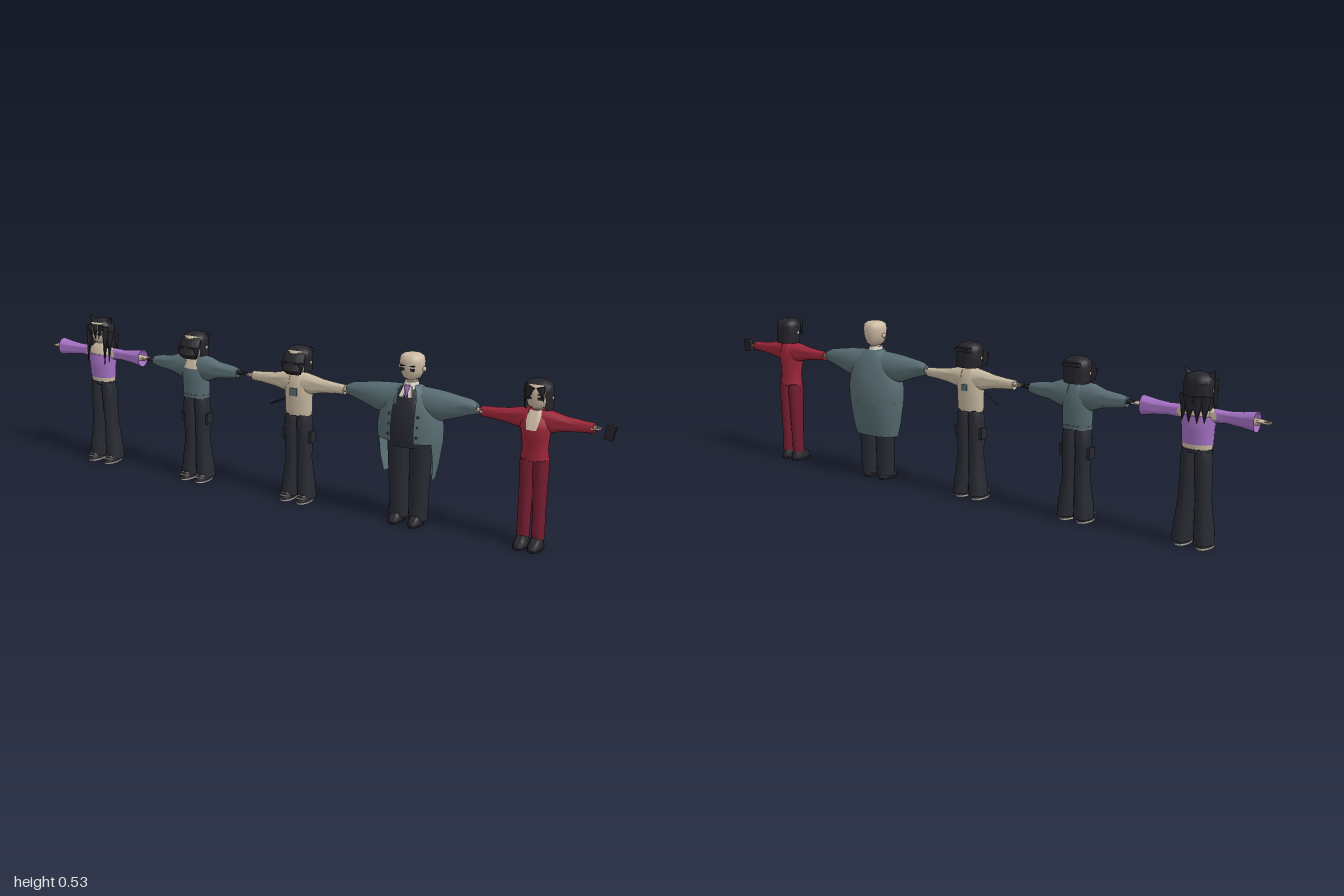
import * as THREE from 'three';
import { toCreasedNormals } from 'three/addons/utils/BufferGeometryUtils.js';

const mat = (name, color, side = THREE.DoubleSide) => {
  const m = new THREE.MeshStandardMaterial({ color, side });
  m.name = name;
  return m;
};
const M = {
  skin: mat('skin', 0xcdbba3), hair: mat('black', 0x24242a), denim: mat('dark trousers', 0x282a32),
  teal: mat('teal cloth', 0x586d73), purple: mat('purple cloth', 0xa672c6), red: mat('red cloth', 0x9c2638),
  wine: mat('wine cloth', 0x741c30), cream: mat('cream cloth', 0xc6b8a0), white: mat('off white', 0xd6d0c6),
};

// Lofts elliptical rings [y, rx, rz, cx, cz, open]; open > 0 leaves a gap at the front, open < 0 keeps only a front strip
function loft(rings, caps = true, n = 20) {
  const pos = [], idx = [];
  rings.forEach(([y, rx, rz, cx = 0, cz = 0, open = 0]) => {
    const a = open, b = open < 0 ? -open : Math.PI * 2 - open;
    for (let j = 0; j <= n; j++) {
      const t = a + (b - a) * j / n;
      pos.push(cx + rx * Math.sin(t), y, cz + rz * Math.cos(t));
    }
  });
  for (let i = 0; i < rings.length - 1; i++) for (let j = 0; j < n; j++) {
    const p = i * (n + 1) + j, q = p + n + 1;
    idx.push(p, p + 1, q + 1, p, q + 1, q);
  }
  if (caps) [0, rings.length - 1].forEach((i) => {
    const [y, , , cx = 0, cz = 0] = rings[i], c = pos.length / 3, s = i * (n + 1);
    pos.push(cx, y, cz);
    for (let j = 0; j < n; j++) i ? idx.push(c, s + j, s + j + 1) : idx.push(c, s + j + 1, s + j);
  });
  const g = new THREE.BufferGeometry();
  g.setAttribute('position', new THREE.Float32BufferAttribute(pos, 3));
  g.setIndex(idx);
  return toCreasedNormals(g, 0.9);
}

function add(parent, name, geo, material, x = 0, y = 0, z = 0) {
  const m = new THREE.Mesh(geo, material);
  m.name = name;
  m.position.set(x, y, z);
  parent.add(m);
  return m;
}
const box = (w, h, d) => new THREE.BoxGeometry(w, h, d);

// Builds a part on the left and its mirror on the right
function pair(parent, name, build) {
  for (const s of [1, -1]) {
    const g = new THREE.Group();
    g.name = (s > 0 ? 'left ' : 'right ') + name;
    g.scale.x = s;
    build(g, s);
    parent.add(g);
  }
}

// A tapered lock of hair between two points
function lock(parent, a, b, r) {
  const A = new THREE.Vector3(...a), B = new THREE.Vector3(...b), d = B.clone().sub(A);
  const m = add(parent, 'hair lock', new THREE.ConeGeometry(r, d.length(), 6), M.hair);
  m.position.copy(A).lerp(B, 0.5);
  m.quaternion.setFromUnitVectors(new THREE.Vector3(0, 1, 0), d.normalize());
}

function head(g, y) {
  add(g, 'head', loft([[0, 0.016, 0.018], [0.008, 0.028, 0.029, 0, 0.001], [0.028, 0.036, 0.036], [0.055, 0.039, 0.038],
    [0.07, 0.036, 0.035], [0.077, 0.026, 0.025], [0.08, 0.012, 0.012]]), M.skin, 0, y, -0.002);
  add(g, 'neck', loft([[-0.05, 0.019, 0.017], [0.012, 0.016, 0.016]]), M.skin, 0, y, -0.003);
  pair(g, 'face', (f) => {
    add(f, 'eye', box(0.012, 0.008, 0.006), M.hair, 0.015, y + 0.035, 0.031);
    add(f, 'brow', box(0.014, 0.003, 0.006), M.hair, 0.015, y + 0.046, 0.032);
    add(f, 'ear', new THREE.SphereGeometry(0.008, 8, 6), M.skin, 0.037, y + 0.034, -0.003);
  });
}

// Cap of hair open around the face
function hair(g, low, open) {
  add(g, 'hair', loft([[low, 0.041, 0.036, 0, -0.008, open], [0.45, 0.043, 0.037, 0, -0.006, open],
    [0.474, 0.043, 0.038, 0, -0.005, open * 0.8], [0.474, 0.043, 0.039, 0, -0.004], [0.488, 0.04, 0.037, 0, -0.004],
    [0.497, 0.031, 0.029, 0, -0.004], [0.502, 0.014, 0.013, 0, -0.004]], true, 28), M.hair);
}

// Arms run outward along x at shoulder height; the hand ends at tip
function arms(g, rings, sleeve, tip, glove = M.skin) {
  pair(g, 'arm', (a) => {
    add(a, 'sleeve', loft(rings).rotateZ(-Math.PI / 2), sleeve, 0, 0.385, 0);
    const h = tip - 0.036;
    add(a, 'palm', loft([[h - 0.012, 0.007, 0.008], [h + 0.004, 0.007, 0.012], [h + 0.018, 0.006, 0.012]], true, 10)
      .rotateZ(-Math.PI / 2), glove, 0, 0.387, 0);
    for (let i = 0; i < 4; i++)
      add(a, 'finger', new THREE.CapsuleGeometry(0.003, 0.014, 3, 6).rotateZ(Math.PI / 2), glove,
        h + 0.026 - Math.abs(i - 1.3) * 0.002, 0.386, 0.009 - i * 0.006);
    const t = add(a, 'thumb', new THREE.CapsuleGeometry(0.003, 0.012, 3, 6).rotateZ(Math.PI / 2), glove, h + 0.01, 0.386, 0.014);
    t.rotation.y = -0.6;
  });
}

function legs(g, rings, cloth, footX, trim) {
  pair(g, 'leg', (l) => {
    add(l, 'trouser leg', loft(rings), cloth);
    add(l, 'shoe', loft([[0.004, 0.021, 0.041], [0.014, 0.021, 0.04], [0.025, 0.018, 0.031, 0, -0.004],
      [0.038, 0.014, 0.019, 0, -0.012]]), M.hair, footX, 0, 0.012);
    add(l, 'sole', loft([[0, 0.021, 0.041], [0.006, 0.0225, 0.043]]), trim ? M.white : M.hair, footX, 0, 0.012);
    if (trim) for (const k of [0, 1])
      add(l, 'shoe stripe', box(0.024, 0.003, 0.005), M.white, footX, 0.024 - k * 0.006, 0.036 + k * 0.009);
  });
}
const flared = (w) => [[0.014, 0.03, 0.036, w], [0.06, 0.028, 0.033, w - 0.002], [0.14, 0.023, 0.026, w - 0.008],
  [0.22, 0.024, 0.029, 0.023], [0.265, 0.025, 0.03, 0.021], [0.288, 0.02, 0.027, 0.02]];
const torso = [[0.285, 0.044, 0.03], [0.3, 0.046, 0.031], [0.34, 0.046, 0.033], [0.375, 0.05, 0.033],
  [0.4, 0.046, 0.027], [0.412, 0.032, 0.022], [0.42, 0.019, 0.018]];
const slim = [[0.02, 0.036, 0.028], [0.055, 0.029, 0.024], [0.085, 0.022, 0.02], [0.13, 0.017, 0.017], [0.165, 0.015, 0.015]];

// Dark fringe covering the face, with a tuft at the back
function fringe(g) {
  add(g, 'fringe', loft([[0.42, 0.026, 0.012, 0, 0.034], [0.435, 0.034, 0.024, 0, 0.04], [0.455, 0.037, 0.021, 0, 0.034],
    [0.478, 0.037, 0.017, 0, 0.024], [0.492, 0.028, 0.014, 0, 0.012]]), M.hair);
  add(g, 'back tuft', box(0.052, 0.012, 0.02), M.hair, 0, 0.482, -0.04);
  for (let i = -2; i <= 2; i++) lock(g, [i * 0.014, 0.46, 0.045], [i * 0.016, 0.422, 0.052 - Math.abs(i) * 0.005], 0.009);
}

function person(root, name, x) {
  const g = new THREE.Group();
  g.name = name;
  g.position.x = x;
  root.add(g);
  return g;
}

export function createModel() {
  const root = new THREE.Group();
  root.name = 'row of five figures';

  // Long-haired figure in a purple crop top
  const a = person(root, 'purple top figure', -0.787);
  head(a, 0.42);
  hair(a, 0.4, 0.85);
  add(a, 'body', loft(torso), M.skin);
  add(a, 'crop top', loft([[0.302, 0.047, 0.033], [0.34, 0.048, 0.037], [0.36, 0.05, 0.039], [0.383, 0.051, 0.035]]), M.purple);
  add(a, 'belt', loft([[0.278, 0.045, 0.032], [0.288, 0.046, 0.032]]), M.denim);
  arms(a, [[0.02, 0.022, 0.02], [0.06, 0.017, 0.015], [0.18, 0.009, 0.009]], M.skin, 0.212);
  pair(a, 'flared sleeve', (s) => add(s, 'sleeve', loft([[0.05, 0.02, 0.015], [0.09, 0.018, 0.015], [0.13, 0.022, 0.019],
    [0.172, 0.029, 0.026]], false).rotateZ(-Math.PI / 2), M.purple, 0, 0.385, 0));
  legs(a, flared(0.034), M.denim, 0.034, true);
  pair(a, 'long hair', (s) => {
    lock(s, [0.028, 0.485, 0], [0.047, 0.512, 0], 0.014);
    lock(s, [0.034, 0.48, 0.022], [0.036, 0.345, 0.036], 0.011);
    lock(s, [0.04, 0.46, 0.005], [0.046, 0.36, 0.024], 0.012);
    lock(s, [0.022, 0.485, 0.03], [0.016, 0.438, 0.038], 0.01);
    lock(s, [0.03, 0.44, -0.025], [0.034, 0.365, -0.035], 0.018);
    lock(s, [0.012, 0.44, -0.035], [0.012, 0.36, -0.036], 0.018);
  });
  lock(a, [0, 0.487, 0.032], [0.004, 0.436, 0.04], 0.011);

  // Figure in a cropped teal jacket
  const b = person(root, 'teal jacket figure', -0.4);
  head(b, 0.42);
  hair(b, 0.425, 0.8);
  fringe(b);
  add(b, 'jacket', loft(torso.map(([y, w, d]) => [y, w + 0.002, d + 0.002])), M.teal);
  add(b, 'open collar', loft([[0.385, 0.046, 0.036, 0, 0, -0.9], [0.403, 0.047, 0.03, 0, 0, -1.1], [0.416, 0.033, 0.025, 0, 0, -1.2]], false), M.cream);
  add(b, 'hem', loft([[0.285, 0.048, 0.034], [0.297, 0.049, 0.035]]), M.teal);
  arms(b, [[0.02, 0.044, 0.03], [0.055, 0.04, 0.028], [0.09, 0.027, 0.025], [0.14, 0.021, 0.02], [0.165, 0.015, 0.015]], M.teal, 0.2, M.hair);
  legs(b, flared(0.029), M.denim, 0.03, true);

  // Figure in a cream sweater
  const c = person(root, 'cream sweater figure', -0.011);
  head(c, 0.42);
  hair(c, 0.425, 0.8);
  fringe(c);
  add(c, 'sweater', loft(torso), M.cream);
  add(c, 'chest badge', box(0.024, 0.024, 0.006), M.teal, 0, 0.362, 0.033);
  add(c, 'back badge', box(0.018, 0.02, 0.006), M.teal, 0, 0.362, -0.033);
  arms(c, slim, M.cream, 0.192);
  legs(c, flared(0.029), M.denim, 0.03, true);
  const rod = add(c, 'slung rod', new THREE.CylinderGeometry(0.003, 0.003, 0.062, 8), M.hair, -0.062, 0.322, 0.025);
  rod.rotation.set(0.35, 0, -1.1);

  // Cargo pockets shared by the two
  for (const g of [b, c]) pair(g, 'pocket', (p) => add(p, 'pocket', box(0.012, 0.036, 0.03), M.denim, 0.046, 0.215, 0));

  // Large bald figure in a long coat
  const d = person(root, 'long coat figure', 0.375);
  head(d, 0.45);
  add(d, 'shirt', loft([[0.25, 0.068, 0.05], [0.3, 0.088, 0.058], [0.36, 0.08, 0.048], [0.41, 0.05, 0.034], [0.428, 0.025, 0.022]]), M.denim);
  add(d, 'coat', loft([[0.15, 0.083, 0.043, 0, 0, 1.25], [0.2, 0.094, 0.055, 0, 0, 1.15], [0.268, 0.104, 0.064, 0, 0, 0.95],
    [0.268, 0.104, 0.064, 0, 0, 0.36], [0.31, 0.105, 0.066, 0, 0, 0.36], [0.36, 0.098, 0.057, 0, 0, 0.38],
    [0.4, 0.085, 0.045, 0, 0, 0.42], [0.422, 0.06, 0.035, 0, 0, 0.5], [0.436, 0.026, 0.024, 0, 0, 0.7]], false, 32), M.teal);
  arms(d, [[0.03, 0.048, 0.038], [0.08, 0.048, 0.038, 0.003], [0.11, 0.044, 0.034, 0.002], [0.15, 0.034, 0.026, -0.002],
    [0.19, 0.024, 0.019, -0.006], [0.212, 0.016, 0.015, -0.004]], M.teal, 0.236);
  add(d, 'shirt collar', loft([[0.425, 0.027, 0.028], [0.445, 0.02, 0.021]]), M.white);
  pair(d, 'coat front', (s) => {
    const v = add(s, 'shirt front', box(0.013, 0.034, 0.006), M.white, 0.011, 0.417, 0.034);
    v.rotation.set(-0.5, 0, 0.25);
    for (let i = 0; i < 3; i++) add(s, 'button', new THREE.SphereGeometry(0.004, 8, 6), M.hair, 0.046, 0.29 + i * 0.03, 0.059 - i * 0.004);
  });
  const tie = add(d, 'tie', new THREE.ConeGeometry(0.009, 0.055, 4).rotateX(Math.PI), M.purple, 0, 0.412, 0.038);
  tie.rotation.x = -0.35;
  legs(d, [[0.014, 0.03, 0.029, 0.033], [0.1, 0.031, 0.029, 0.033], [0.2, 0.034, 0.034, 0.035], [0.28, 0.036, 0.042, 0.036]], M.denim, 0.033, false);

  // Red-suited figure with bobbed hair
  const e = person(root, 'red suit figure', 0.765);
  head(e, 0.42);
  hair(e, 0.418, 0.75);
  lock(e, [0.016, 0.488, 0.03], [0.028, 0.446, 0.034], 0.014);
  lock(e, [-0.012, 0.488, 0.03], [-0.028, 0.44, 0.034], 0.016);
  const suit = [[0.268, 0.043, 0.031], [0.3, 0.038, 0.03, 0, 0.002], [0.335, 0.041, 0.034, 0, 0.004], [0.365, 0.046, 0.039, 0, 0.007],
    [0.39, 0.047, 0.033, 0, 0.003], [0.405, 0.036, 0.026], [0.417, 0.019, 0.019]];
  add(e, 'top', loft(suit), M.red);
  add(e, 'neckline', loft(suit.slice(3).map(([y, w, z, , cz], i) => [y, w + 0.002, z + 0.002, 0, cz, [-0.3, -0.42, -0.55, -0.9][i]]), false), M.skin);
  arms(e, slim, M.red, 0.186);
  add(e, 'phone', box(0.026, 0.042, 0.016), M.hair, 0.212, 0.382, 0.006).rotation.z = -0.2;
  legs(e, [[0.03, 0.019, 0.021, 0.023], [0.1, 0.019, 0.023, 0.022], [0.18, 0.02, 0.027, 0.021], [0.24, 0.023, 0.03, 0.02],
    [0.272, 0.022, 0.03, 0.02]], M.wine, 0.022, false);

  return root;
}
